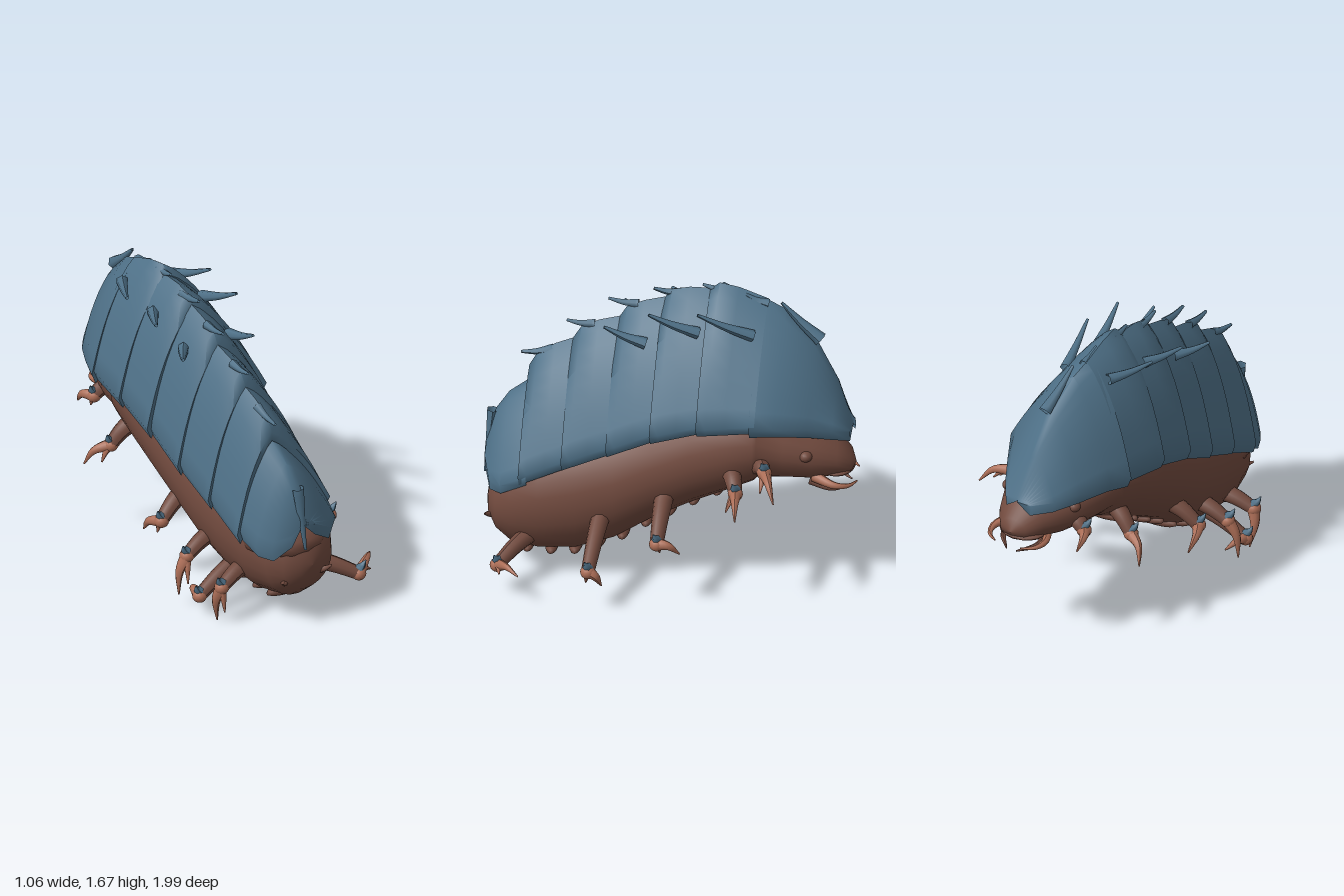
import * as THREE from 'three';
import { toCreasedNormals } from 'three/addons/utils/BufferGeometryUtils.js';

const mat = (name, color, side = THREE.FrontSide) => {
  const m = new THREE.MeshStandardMaterial({ color, side });
  m.name = name;
  return m;
};
const V = (p) => new THREE.Vector3(...p);
const mix = (a, b, t, lift = 0) => a.map((v, k) => v + (b[k] - v) * t + (k === 1 ? lift : 0));

// Skin a list of equal-length rings of [x, y, z] points
function loft(rings, closed) {
  const n = rings[0].length, index = [];
  for (let i = 0; i < rings.length - 1; i++) {
    for (let j = 0; j < (closed ? n : n - 1); j++) {
      const a = i * n + j, b = i * n + ((j + 1) % n), c = a + n, d = b + n;
      index.push(a, c, b, b, c, d);
    }
  }
  const g = new THREE.BufferGeometry();
  g.setAttribute('position', new THREE.Float32BufferAttribute(rings.flat(2), 3));
  g.setIndex(index);
  g.computeVertexNormals();
  return g;
}

// Tube along points that tapers from radius r0 to r1
function taper(points, r0, r1, sides = 8) {
  const curve = new THREE.CatmullRomCurve3(points.map(V)), n = 10;
  const g = new THREE.TubeGeometry(curve, n, r0, sides, false);
  const p = g.attributes.position, v = new THREE.Vector3();
  for (let i = 0; i < p.count; i++) {
    const t = Math.floor(i / (sides + 1)) / n, c = curve.getPointAt(t);
    v.fromBufferAttribute(p, i).sub(c).multiplyScalar(1 + (r1 / r0 - 1) * t).add(c);
    p.setXYZ(i, v.x, v.y, v.z);
  }
  g.computeVertexNormals();
  return g;
}

// Arched shell section, right rim over the ridge to left rim, turned slightly across the body
function arch([z, xa, ya, xl, xr, yb], drop) {
  const point = (x, y) => [x, y, z + 0.1 * (x + 0.15)];
  const half = (xe, ye, bulge) => {
    const pts = [];
    for (let k = 0; k <= 8; k++) {
      const t = k / 8;
      pts.push(point(xa + (xe - xa) * (t + bulge * Math.sin(Math.PI * t)), ya + (ye + 0.06 - ya) * Math.pow(t, 1.25)));
    }
    pts.push(point(xe + (xa - xe) * 0.09, ye)); // tucked rim
    return pts;
  };
  return [...half(xr, yb, 0.05).reverse(), ...half(xl, yb - drop, 0.11).slice(1)];
}

const shrink = (ring, k, dz) => {
  const c = [0, 1, 2].map((a) => ring.reduce((s, p) => s + p[a], 0) / ring.length);
  return ring.map((p) => [c[0] + (p[0] - c[0]) * k, c[1] + (p[1] - c[1]) * k, p[2] + dz]);
};

export function createModel() {
  const model = new THREE.Group();
  const shell = mat('slate blue shell', 0x4f7188, THREE.DoubleSide);
  const skin = mat('dark brown hide', 0x714a3e, THREE.DoubleSide);
  const claw = mat('light brown claw', 0xab6d56, THREE.DoubleSide);
  const add = (name, geo, m, parent = model) => {
    const mesh = new THREE.Mesh(geo, m);
    mesh.name = name;
    parent.add(mesh);
    return mesh;
  };
  const ball = (name, p, s, m, parent = model) => {
    const b = add(name, new THREE.SphereGeometry(1, 16, 10), m, parent);
    b.position.set(...p);
    b.scale.set(...s);
    return b;
  };

  // Body and head: z, centre x, centre y, radius x, radius y
  const sections = [
    [0.98, -0.08, 0.38, 0.0005, 0.0005], [0.97, -0.08, 0.38, 0.08, 0.08], [0.93, -0.08, 0.38, 0.16, 0.16],
    [0.85, -0.08, 0.4, 0.215, 0.25], [0.7, -0.08, 0.43, 0.265, 0.31], [0.5, -0.08, 0.47, 0.28, 0.34],
    [0.3, -0.08, 0.54, 0.29, 0.34], [0.1, -0.08, 0.65, 0.3, 0.32], [-0.1, -0.07, 0.75, 0.31, 0.31],
    [-0.3, -0.05, 0.83, 0.32, 0.29], [-0.44, -0.04, 0.86, 0.31, 0.25], [-0.46, -0.04, 0.86, 0.29, 0.23],
    [-0.6, -0.03, 0.83, 0.265, 0.19], [-0.75, -0.01, 0.8, 0.215, 0.16], [-0.88, 0.01, 0.77, 0.14, 0.11],
    [-0.95, 0.02, 0.74, 0.08, 0.06], [-0.975, 0.02, 0.73, 0.0005, 0.0005]];
  add('body', loft(sections.map(([z, cx, cy, rx, ry]) => Array.from({ length: 24 }, (_, j) => {
    const a = j / 24 * Math.PI * 2;
    return [cx + rx * Math.cos(a), cy + ry * Math.sin(a), z];
  })), true), skin);
  ball('tailCap', [-0.1, 0.49, 0.74], [0.245, 0.12, 0.235], skin);
  add('tailNub', taper([[-0.2, 0.29, 0.86], [-0.22, 0.29, 0.92], [-0.25, 0.3, 0.95]], 0.035, 0.005), skin);
  add('tailNub', taper([[-0.02, 0.31, 0.9], [0, 0.32, 0.96], [0.04, 0.34, 0.985]], 0.035, 0.005), skin);

  // Belly ridges, following the slope of the underside
  for (let i = 0; i < 9; i++) {
    const z = 0.76 - i * 0.125;
    const k = sections.findIndex((s) => s[0] < z), a = sections[k - 1], b = sections[k];
    const s = mix(a, b, (a[0] - z) / (a[0] - b[0]));
    ball('bellyRidge', [-0.07, s[2] - s[4] + 0.018, z], [0.15, 0.035, 0.04], skin);
  }

  // Head: eyes and mouth pincers
  for (const s of [-1, 1]) {
    const X = (x) => 0.03 + s * x;
    ball('eye', [-0.01 + s * 0.205, 0.84, -0.72], [0.035, 0.03, 0.035], skin);
    add('outerPincer', taper([[X(0.1), 0.69, -0.76], [X(0.16), 0.67, -0.87], [X(0.14), 0.66, -0.94], [X(0.08), 0.66, -0.985]], 0.032, 0.004), claw);
    add('innerPincer', taper([[X(0.08), 0.66, -0.74], [X(0.11), 0.63, -0.85], [X(0.03), 0.61, -0.95]], 0.03, 0.004), skin);
  }
  ball('upperLip', [0.01, 0.7, -0.87], [0.13, 0.025, 0.1], skin);

  // Shell plates, by section: z, ridge x, ridge y, left x, right x, rim y
  const addPlate = (rings) => add('shellPlate', toCreasedNormals(loft(rings, false), 1.2), shell);
  const frontRings = [
    [0.985, -0.15, 0.7, -0.22, -0.07, 0.57], [0.94, -0.16, 0.87, -0.31, 0.06, 0.49],
    [0.87, -0.17, 0.97, -0.36, 0.13, 0.5], [0.73, -0.18, 1.07, -0.385, 0.16, 0.57]].map((r) => arch(r, 0.04));
  addPlate([shrink(frontRings[0], 0.01, 0.005), ...frontRings]);

  // Middle plates run from a front edge to a rear edge with a rounded ridge between
  const middlePlates = [
    [[0.77, -0.19, 1.12, -0.4, 0.165, 0.57], [0.49, -0.19, 1.31, -0.4, 0.18, 0.7]],
    [[0.54, -0.19, 1.29, -0.42, 0.19, 0.68], [0.26, -0.19, 1.44, -0.42, 0.2, 0.8]],
    [[0.3, -0.19, 1.42, -0.44, 0.21, 0.78], [0.02, -0.18, 1.57, -0.43, 0.24, 0.91]],
    [[0.06, -0.18, 1.55, -0.46, 0.27, 0.9], [-0.22, -0.17, 1.63, -0.44, 0.28, 0.98]],
    [[-0.19, -0.16, 1.63, -0.46, 0.3, 0.97], [-0.5, -0.15, 1.59, -0.41, 0.3, 1.0]]];
  for (const [front, rear] of middlePlates) {
    const rings = [0, 0.16, 0.5, 1].map((t) => {
      const row = mix(front, rear, t);
      row[2] += 0.05 * Math.sin(Math.PI * Math.sqrt(t));
      return arch(row, 0.07);
    });
    addPlate([shrink(rings[0], 0.8, -0.01), ...rings]);
  }

  const rearRings = [
    [-0.47, -0.15, 1.6, -0.43, 0.31, 0.98], [-0.6, -0.13, 1.54, -0.38, 0.29, 0.98], [-0.76, -0.1, 1.39, -0.29, 0.2, 0.94],
    [-0.88, -0.07, 1.17, -0.2, 0.13, 0.9], [-0.965, -0.02, 0.94, -0.1, 0.07, 0.87]].map((r, i) => arch(r, 0.07 - i * 0.015));
  addPlate([shrink(rearRings[0], 0.8, -0.01), ...rearRings, shrink(rearRings[4], 0.01, -0.01)]);

  // Shell spikes: base, tip
  const addSpike = (a, b, r) => add('shellSpike', taper([a, mix(a, b, 0.5, -0.008), b], r, 0.008, 6), shell);
  addSpike([-0.16, 0.86, 0.955], [-0.14, 0.5, 0.995], 0.035);
  addSpike([-0.07, 1.4, -0.78], [-0.11, 1.59, -0.57], 0.038);
  const ridgeSpikes = [
    [[-0.19, 1.22, 0.64], [-0.2, 1.19, 0.81]], [[-0.19, 1.38, 0.42], [-0.2, 1.39, 0.57]],
    [[-0.19, 1.51, 0.19], [-0.2, 1.53, 0.35]], [[-0.18, 1.59, -0.04], [-0.18, 1.61, 0.11]],
    [[-0.16, 1.63, -0.27], [-0.17, 1.65, -0.15]], [[-0.13, 1.57, -0.5], [-0.13, 1.62, -0.38]]];
  for (const [a, b] of ridgeSpikes) addSpike(a, b, 0.026);
  const sideSpikes = [
    [[0.03, 1.46, -0.43], [0.08, 1.6, -0.14]], [[0.02, 1.46, -0.14], [0.06, 1.58, 0.12]],
    [[-0.01, 1.37, 0.14], [-0.01, 1.46, 0.36]], [[-0.26, 1.5, -0.46], [-0.39, 1.54, -0.24]],
    [[-0.28, 1.46, -0.16], [-0.4, 1.5, 0.03]], [[-0.29, 1.37, 0.12], [-0.41, 1.41, 0.28]]];
  for (const [a, b] of sideSpikes) addSpike(a, b, 0.033);

  // Legs: hip, ankle, claw tip
  const legs = [
    [[0.06, 0.26, 0.73], [0.28, 0.17, 0.9], [0.44, 0.19, 0.78]],
    [[0.13, 0.43, 0.36], [0.45, 0.24, 0.41], [0.43, 0.15, 0.34]],
    [[0.18, 0.55, 0.03], [0.41, 0.4, 0.05], [0.4, 0.34, -0.07]],
    [[0.22, 0.74, -0.33], [0.34, 0.68, -0.36], [0.52, 0.61, -0.37]],
    [[0.2, 0.78, -0.47], [0.3, 0.79, -0.51], [0.48, 0.7, -0.57]],
    [[-0.24, 0.29, 0.62], [-0.44, 0.22, 0.66], [-0.44, 0.005, 0.62]],
    [[-0.2, 0.25, 0.5], [-0.48, 0.12, 0.52], [-0.43, 0.09, 0.4]],
    [[-0.27, 0.37, 0.36], [-0.46, 0.29, 0.38], [-0.52, 0.08, 0.39]],
    [[-0.28, 0.49, 0.1], [-0.44, 0.38, 0.13], [-0.46, 0.28, 0.0]],
    [[-0.26, 0.68, -0.38], [-0.37, 0.57, -0.41], [-0.48, 0.45, -0.5]],
    [[-0.18, 0.75, -0.68], [-0.265, 0.7, -0.7], [-0.29, 0.63, -0.81]]];
  for (const [hip, ankle, tip] of legs) {
    const leg = new THREE.Group(), s = Math.sign(ankle[0]);
    leg.name = 'leg';
    model.add(leg);
    add('upperLeg', taper([hip, mix(hip, ankle, 0.5, 0.012), ankle], 0.052, 0.036, 10), skin, leg);
    ball('ankle', ankle, [0.04, 0.038, 0.04], claw, leg);
    const bend = mix(ankle, tip, 0.5, 0.03);
    bend[0] += s * 0.02;
    add('longClaw', taper([ankle, bend, tip], 0.036, 0.004), claw, leg);
    const short = mix(ankle, tip, 0.55, -0.02);
    short[2] += 0.05;
    add('shortClaw', taper([ankle, mix(ankle, short, 0.5, 0.015), short], 0.026, 0.004), claw, leg);
    const [x, y, z] = ankle;
    add('ankleSpur', taper([[x, y + 0.025, z], [x + s * 0.02, y + 0.045, z + 0.005], [x + s * 0.035, y + 0.075, z + 0.015]], 0.03, 0.003, 6), shell, leg);
  }
  return model;
}
